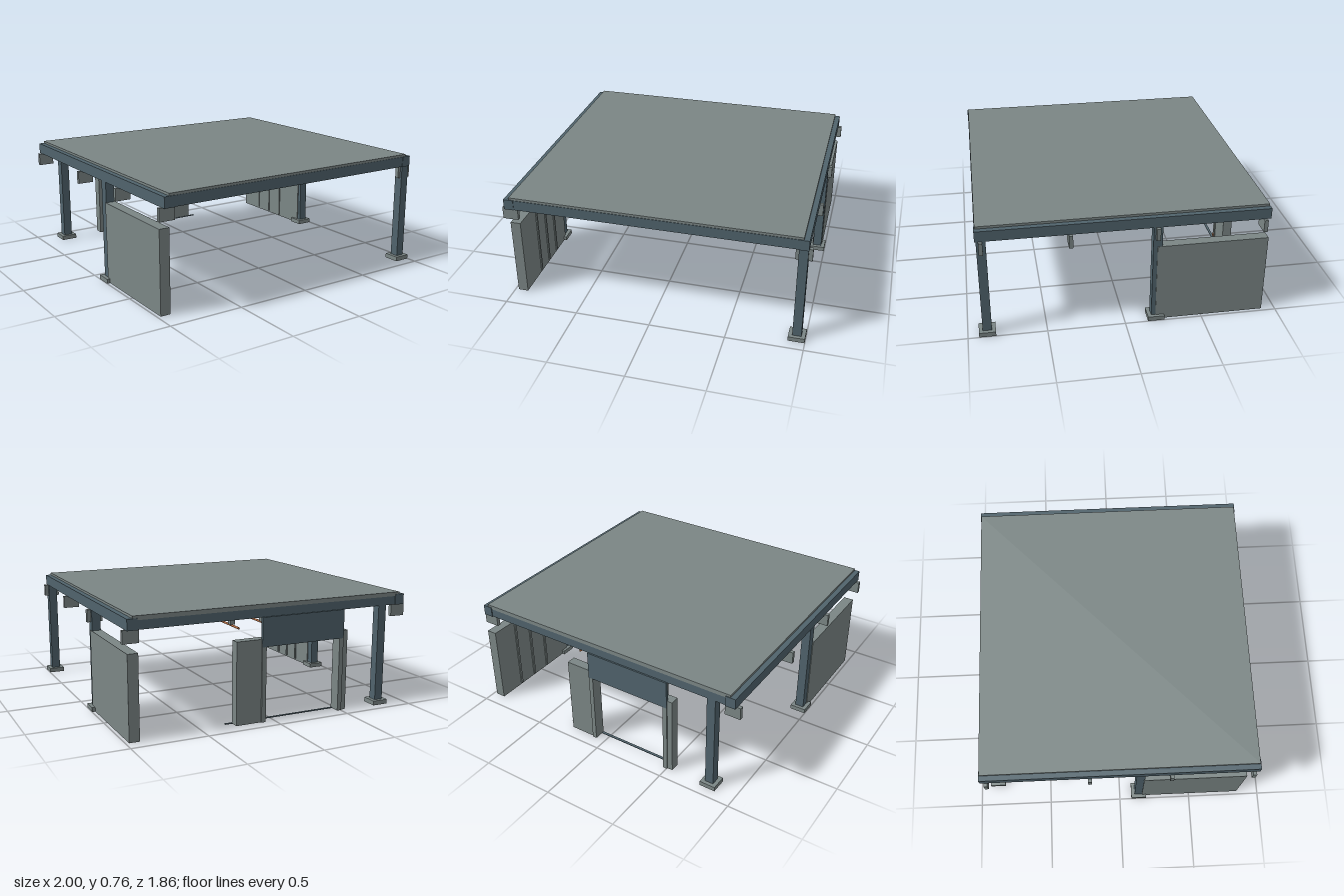
import * as THREE from 'three';

export function createModel() {
  const root = new THREE.Group();
  root.name = 'openPavilion';
  const mat = (name, color) => {
    const m = new THREE.MeshStandardMaterial({ color });
    m.name = name;
    return m;
  };
  const grey = mat('panelGrey', 0x7b8685);
  const steel = mat('blueSteel', 0x50636c);
  const copper = mat('copper', 0xb06a40);

  // Box given by its extents on each axis
  const box = (name, material, [x0, x1], [y0, y1], [z0, z1], parent = root) => {
    const m = new THREE.Mesh(new THREE.BoxGeometry(x1 - x0, y1 - y0, z1 - z0), material);
    m.position.set((x0 + x1) / 2, (y0 + y1) / 2, (z0 + z1) / 2);
    m.name = name;
    parent.add(m);
    return m;
  };
  const group = (name) => {
    const g = new THREE.Group();
    g.name = name;
    root.add(g);
    return g;
  };
  const around = (c, half) => [c - half, c + half];

  // Roof slab and perimeter frame
  box('roofSlab', grey, [-0.942, 0.942], [0.735, 0.762], [-0.913, 0.908]);
  const frame = group('roofFrame');
  for (const s of [-1, 1]) {
    box('sideBeam', steel, around(s * 0.944, 0.033), [0.677, 0.747], [-0.917, 0.914], frame);
    box('endBeam', steel, [-0.912, 0.912], [0.678, 0.746], around(s * 0.88, 0.031), frame);
  }

  // Cross beams with splice plates under the joints
  for (const z of [0.34, -0.2, -0.6]) {
    box('crossBeam', steel, [-0.912, 0.912], [0.68, 0.736], around(z, 0.027), frame);
  }
  for (const z of [0.34, -0.605]) {
    box('splicePlate', steel, [-0.2, 0.2], [0.657, 0.68], around(z, 0.024), frame);
  }

  // Beam end brackets on both sides
  const brackets = group('brackets');
  for (const z of [0.88, 0.34, -0.2, -0.88]) {
    for (const s of [-1, 1]) {
      box('bracket', grey, around(s * 0.948, 0.052), [0.595, 0.677], around(z, 0.0125), brackets);
    }
  }

  // Posts on square feet
  for (const [x, z] of [[0.945, 0.877], [0.945, -0.202], [-0.945, 0.136], [-0.812, -0.88]]) {
    const post = group('post');
    box('postShaft', steel, around(x, 0.029), [0.03, 0.68], around(z, 0.029), post);
    box('postFoot', grey, around(x, 0.054), [0, 0.03], around(z, 0.053), post);
  }

  // Side wall panels with ribs on the inner face
  const walls = [
    { s: -1, z: [0.16, 0.85], ribs: [0.61, 0.475, 0.34] },
    { s: 1, z: [-0.912, -0.2], ribs: [-0.72, -0.58, -0.44] },
  ];
  for (const { s, z, ribs } of walls) {
    const wall = group('sideWall');
    box('wallPanel', grey, around(s * 0.944, 0.034), [0, 0.54], z, wall);
    for (const r of ribs) {
      box('wallRib', grey, around(s * 0.907, 0.005), [0.012, 0.528], around(r, 0.008), wall);
    }
  }

  // Back doorway: wall pieces, jambs, header and threshold
  const door = group('backDoorway');
  box('wallPieceRight', grey, [-0.54, -0.475], [0, 0.54], [-0.912, -0.85], door);
  box('wallPieceLeft', grey, [0.065, 0.27], [0, 0.54], [-0.912, -0.85], door);
  for (const x of [-0.49, 0.08]) {
    box('doorJamb', grey, around(x, 0.015), [0, 0.51], [-0.92, -0.842], door);
    for (const y of [0.05, 0.455]) {
      box('jambBolt', copper, around(x, 0.012), around(y, 0.012), [-0.843, -0.838], door);
    }
  }
  box('headerInner', grey, [-0.47, 0.062], [0.49, 0.66], [-0.905, -0.845], door);
  box('headerOuter', steel, [-0.505, 0.095], [0.49, 0.68], [-0.921, -0.904], door);
  box('threshold', steel, [-0.5, 0.32], [0, 0.004], [-0.86, -0.842], door);

  // Copper rods carried by hangers
  for (const x of [-0.225, 0, 0.22]) {
    const line = group('rodLine');
    const rod = new THREE.Mesh(new THREE.CylinderGeometry(0.007, 0.007, 0.61, 10), copper);
    rod.rotation.x = Math.PI / 2;
    rod.position.set(x, 0.607, -0.535);
    rod.name = 'rod';
    line.add(rod);
    for (const z of [-0.405, -0.74]) {
      box('hanger', grey, around(x, 0.016), [0.614, 0.67], around(z, 0.016), line);
      box('hangerPlate', steel, around(x, 0.022), [0.668, 0.735], around(z, 0.022), line);
    }
  }
  return root;
}
